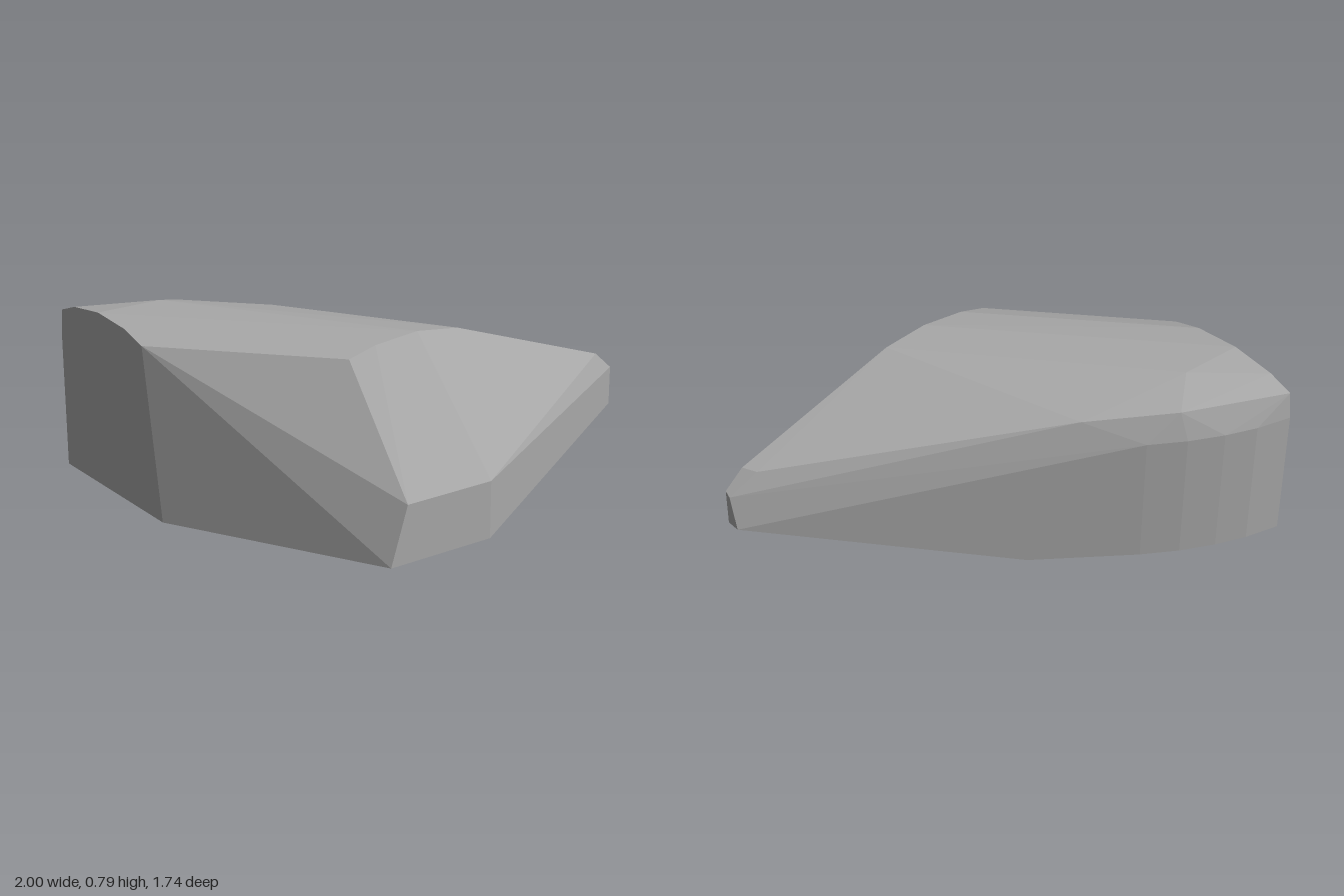
import * as THREE from 'three';
import { ConvexGeometry } from 'three/addons/geometries/ConvexGeometry.js';

// Places a 2D profile in space with a mapping function
const place = (profile, map) => profile.map(([a, b]) => new THREE.Vector3(...map(a, b)));

export function createModel() {
  const group = new THREE.Group();
  group.name = 'rock';
  const stone = new THREE.MeshStandardMaterial({ color: 0xa8a8a8 });
  stone.name = 'stone grey';
  stone.flatShading = true;

  // Crest along the front, at z = 0.46 (x, y)
  const frontCrest = place(
    [[-0.42, 0.735], [-0.29, 0.77], [-0.08, 0.79], [0.13, 0.765], [0.91, 0.5], [1, 0.42], [1, 0.25]],
    (x, y) => [x, y, 0.465]
  );
  // Cut end at x = -1 (z, y)
  const cutEnd = place(
    [[-0.05, 0], [-0.17, 0.735], [-0.31, 0.772], [-0.53, 0.787], [-0.74, 0.76], [-0.855, 0.72]],
    (z, y) => [-1, y, z]
  );
  // Low front wall at z = 0.87 (x, y)
  const frontWall = place(
    [[-0.51, 0], [-0.01, 0], [-0.01, 0.25], [-0.43, 0.25]],
    (x, y) => [x, y, 0.87]
  );
  // Rounded upright back wall, from floor to shoulder (x, z)
  const backPlan = [[-1, -0.87], [-0.84, -0.832], [-0.7, -0.78], [-0.55, -0.707], [-0.4, -0.615]];
  const backWall = [0, 0.6].flatMap((y) => place(backPlan, (x, z) => [x, y, z]));

  // Raised underside, back shoulder and narrow tip
  const shoulder = [
    [0, 0, -0.325], [-0.7, 0.789, -0.53], [-0.54, 0.73, -0.665], [-0.2, 0.705, -0.42],
    [0.88, 0.5, 0.4], [1, 0.4, 0.44], [1, 0.25, 0.4],
  ].map((p) => new THREE.Vector3(...p));

  const boulder = new THREE.Mesh(
    new ConvexGeometry([...frontCrest, ...cutEnd, ...frontWall, ...backWall, ...shoulder]),
    stone
  );
  boulder.name = 'boulder';
  group.add(boulder);
  return group;
}
